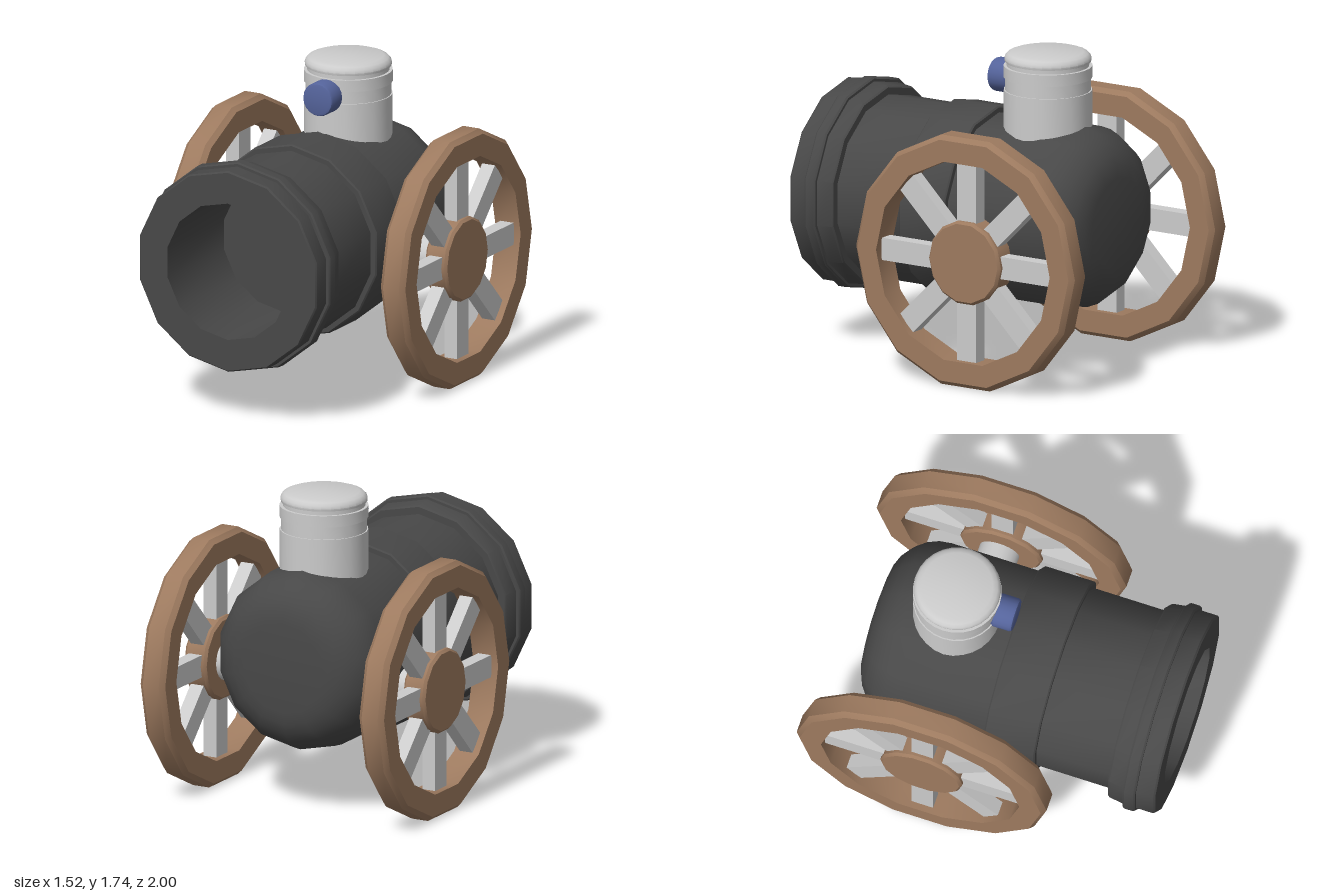
import * as THREE from 'three';
import { toCreasedNormals } from 'three/addons/utils/BufferGeometryUtils.js';

const iron = new THREE.MeshStandardMaterial({ color: 0x484848 });
const wood = new THREE.MeshStandardMaterial({ color: 0x9d7a5f });
const blue = new THREE.MeshStandardMaterial({ color: 0x55649c });
const grey = new THREE.MeshStandardMaterial({ color: 0xcccccc });

const CX = -0.015; // barrel and chimney centre line
const AXLE_Y = 0.705, AXLE_Z = -0.285;

function addMesh(parent, name, geometry, material) {
  const mesh = new THREE.Mesh(geometry, material);
  mesh.name = name;
  parent.add(mesh);
  return mesh;
}

// Turned part from [radius, height] pairs, listed upwards on the outside
function turned(profile, sides) {
  const points = profile.map(([r, h]) => new THREE.Vector2(r, h));
  return toCreasedNormals(new THREE.LatheGeometry(points, sides), 0.55);
}

function barrelGeometry() {
  const profile = [[0, -0.78]];
  // rounded breech
  for (let i = 0; i <= 6; i++) {
    const a = (i / 6) * Math.PI / 2;
    profile.push([0.25 + 0.26 * Math.sin(a), -0.52 - 0.26 * Math.cos(a)]);
  }
  profile.push(
    // middle band
    [0.51, 0], [0.537, 0], [0.545, 0.008], [0.545, 0.292], [0.537, 0.3], [0.51, 0.3],
    // flared muzzle and lip
    [0.51, 0.725], [0.55, 0.725], [0.558, 0.735], [0.57, 0.82],
    [0.585, 0.82], [0.5925, 0.83], [0.5925, 0.882], [0.585, 0.892], [0.57, 0.892],
    [0.57, 0.99], [0.562, 1],
    // bore
    [0.387, 1], [0.387, 0.38], [0, 0.38]
  );
  return turned(profile, 14).rotateX(Math.PI / 2);
}

// Wheel centred on its own origin, axis along x
function createWheel(name) {
  const wheel = new THREE.Group();
  wheel.name = name;
  const rim = turned([
    [0.57, -0.077], [0.693, -0.077], [0.718, -0.05], [0.718, 0.05],
    [0.693, 0.077], [0.57, 0.077], [0.57, -0.077]
  ], 14).rotateZ(-Math.PI / 2);
  addMesh(wheel, 'rim', rim, wood);
  const hub = turned([
    [0, -0.07], [0.222, -0.07], [0.236, -0.055], [0.236, 0.055], [0.222, 0.07], [0, 0.07]
  ], 14).rotateZ(-Math.PI / 2);
  addMesh(wheel, 'hub', hub, wood);
  for (let i = 0; i < 8; i++) {
    const spoke = new THREE.BoxGeometry(0.08, 0.46, 0.125);
    spoke.translate(0, 0.33, 0).rotateX(i * Math.PI / 4);
    addMesh(wheel, 'spoke', spoke, grey);
  }
  return wheel;
}

export function createModel() {
  const model = new THREE.Group();
  model.name = 'cannon';

  addMesh(model, 'barrel', barrelGeometry(), iron).position.set(CX, 0.847, 0);

  // Wheels and axle
  for (const side of [1, -1]) {
    const wheel = createWheel(side > 0 ? 'leftWheel' : 'rightWheel');
    wheel.position.set(side * 0.685, AXLE_Y, AXLE_Z);
    model.add(wheel);
  }
  const axle = new THREE.CylinderGeometry(0.113, 0.113, 1.3, 24).rotateZ(Math.PI / 2);
  addMesh(model, 'axle', axle, grey).position.set(0, 0.695, AXLE_Z - 0.005);

  // Chimney with stepped rings and a rounded cap
  const chimney = turned([
    [0, 1], [0.242, 1], [0.242, 1.533], [0.235, 1.533], [0.235, 1.603],
    [0.243, 1.603], [0.243, 1.668], [0.226, 1.668], [0.226, 1.69],
    [0.236, 1.692], [0.239, 1.705], [0.234, 1.722], [0.22, 1.736], [0.195, 1.745], [0, 1.745]
  ], 28);
  addMesh(model, 'chimney', chimney, grey).position.set(CX, 0, -0.322);

  // Short pipe stub on the chimney's front
  const stub = turned([
    [0, -0.2], [0.085, -0.2], [0.085, -0.1], [0.094, -0.09], [0.094, 0.005], [0.089, 0.016],
    [0.077, 0.02], [0, 0.02]
  ], 20).rotateX(Math.PI / 2);
  addMesh(model, 'pipeStub', stub, blue).position.set(CX, 1.573, 0);

  return model;
}
